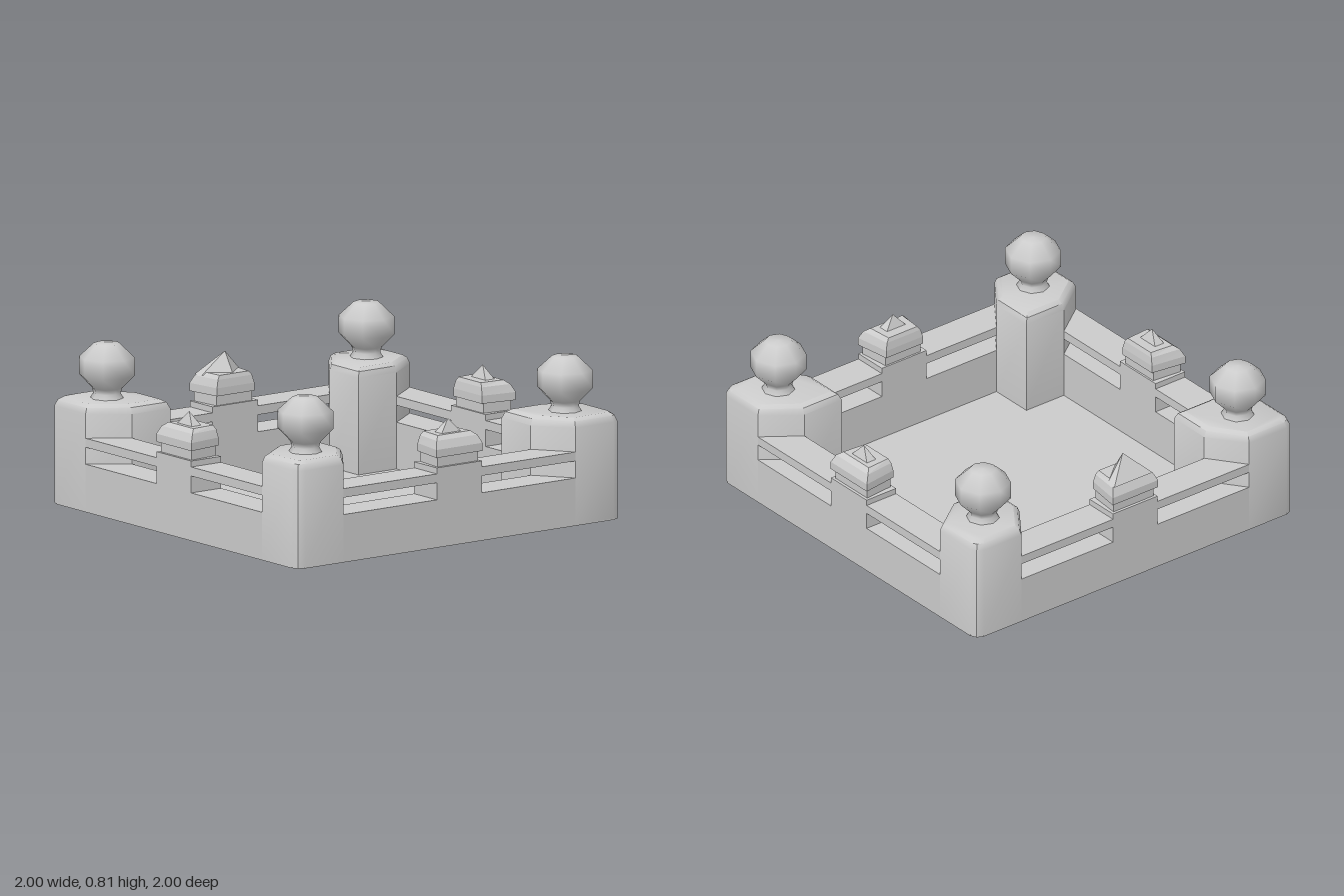
import * as THREE from 'three';
import { toCreasedNormals } from 'three/addons/utils/BufferGeometryUtils.js';

const material = new THREE.MeshStandardMaterial({ color: 0xcccccc });

function add(parent, name, geometry, x = 0, y = 0, z = 0) {
  const mesh = new THREE.Mesh(geometry, material);
  mesh.name = name;
  mesh.position.set(x, y, z);
  parent.add(mesh);
  return mesh;
}

// Closed solid through rings of [x, y, z], each counter-clockwise from above
function loft(rings, crease = 0.1) {
  const n = rings[0].length, index = [];
  for (let r = 0; r < rings.length - 1; r++) {
    for (let i = 0; i < n; i++) {
      const a = r * n + i, b = r * n + (i + 1) % n;
      index.push(a, b, b + n, a, b + n, a + n);
    }
  }
  const top = (rings.length - 1) * n;
  for (let i = 1; i < n - 1; i++) index.push(0, i + 1, i, top, top + i, top + i + 1);
  const geometry = new THREE.BufferGeometry();
  geometry.setAttribute('position', new THREE.Float32BufferAttribute(rings.flat(2), 3));
  geometry.setIndex(index);
  return toCreasedNormals(geometry, crease);
}

// Box given by its x, y and z ranges
function block(parent, name, x0, x1, y0, y1, z0, z1) {
  add(parent, name, new THREE.BoxGeometry(x1 - x0, y1 - y0, z1 - z0),
    (x0 + x1) / 2, (y0 + y1) / 2, (z0 + z1) / 2);
}

// Trapezoid ring, wide at the outer edge
const trapezoid = (y, outer, inner, z0, z1) =>
  [[-outer, y, z1], [outer, y, z1], [inner, y, z0], [-inner, y, z0]];

function createSide(isBack) {
  const side = new THREE.Group();
  block(side, 'lowWall', -0.715, 0.715, 0, 0.24, 0.815, 1);
  block(side, 'post', -0.14, 0.14, 0.24, 0.4, 0.815, 1);
  for (const s of [-1, 1]) {
    block(side, 'rail', Math.min(s * 0.14, s * 0.715), Math.max(s * 0.14, s * 0.715), 0.325, 0.37, 0.815, 1);
  }
  // Narrow neck, then a cap with sloping shoulders
  add(side, 'postNeck', loft([
    trapezoid(0.4, 0.125, 0.11, 0.825, 0.985),
    trapezoid(0.45, 0.125, 0.11, 0.825, 0.985),
  ]));
  add(side, 'postCap', loft([
    trapezoid(0.45, 0.142, 0.115, 0.812, 1),
    trapezoid(0.49, 0.142, 0.115, 0.812, 1),
    trapezoid(0.53, 0.125, 0.105, 0.818, 0.98),
    trapezoid(0.55, 0.1, 0.09, 0.825, 0.955),
  ]));
  if (isBack) {
    // Broad pointed roof with a keel on its inner side
    const apex = [0, 0.65, 0.9];
    const base = [[-0.12, 0.535, 0.985], [0.12, 0.535, 0.985], [0.12, 0.535, 0.93],
      [0, 0.545, 0.835], [-0.12, 0.535, 0.93]];
    const tip = base.map(p => p.map((v, i) => apex[i] + (v - apex[i]) * 0.01));
    add(side, 'pointedRoof', loft([base, tip]));
  } else {
    const pyramid = new THREE.ConeGeometry(Math.SQRT1_2, 1, 4, 1).rotateY(Math.PI / 4)
      .scale(0.125, 0.07, 0.06);
    add(side, 'capPoint', toCreasedNormals(pyramid, 0.1), 0, 0.58, 0.905);
  }
  return side;
}

function createCorner() {
  const corner = new THREE.Group();
  // Pillar with a rounded outer corner, cut away diagonally towards the rails
  const plan = [[0.715, 1], [0.95, 1], [0.985, 0.985], [1, 0.95], [1, 0.715],
    [0.815, 0.58], [0.58, 0.58], [0.58, 0.815]];
  const ring = (y, s) => plan.map(([x, z]) => [0.8 + (x - 0.8) * s, y, 0.8 + (z - 0.8) * s]);
  add(corner, 'pillar', loft([ring(0, 1), ring(0.49, 1), ring(0.52, 0.94), ring(0.535, 0.83)], 0.6));
  // Eight-sided ball on a short neck
  const profile = [[0.085, 0.53], [0.068, 0.56], [0.075, 0.585], [0.138, 0.65], [0.138, 0.74],
    [0.065, 0.808], [0, 0.812]].map(([r, y]) => new THREE.Vector2(r, y));
  add(corner, 'ball', new THREE.LatheGeometry(profile, 8), 0.803, 0, 0.8);
  return corner;
}

export function createModel() {
  const model = new THREE.Group();
  model.name = 'railedPlatform';

  // Thin floor with clipped corners
  const a = 1, b = 0.955;
  const plan = [[-b, a], [b, a], [a, b], [a, -b], [b, -a], [-b, -a], [-a, -b], [-a, b]];
  add(model, 'floor', loft([0, 0.006].map(y => plan.map(([x, z]) => [x, y, z]))));

  const names = ['front', 'left', 'back', 'right'];
  names.forEach((name, i) => {
    const side = createSide(name === 'back');
    side.name = name + 'Railing';
    const corner = createCorner();
    corner.name = name + 'CornerPillar';
    for (const part of [side, corner]) {
      part.rotation.y = i * Math.PI / 2;
      model.add(part);
    }
  });
  return model;
}
